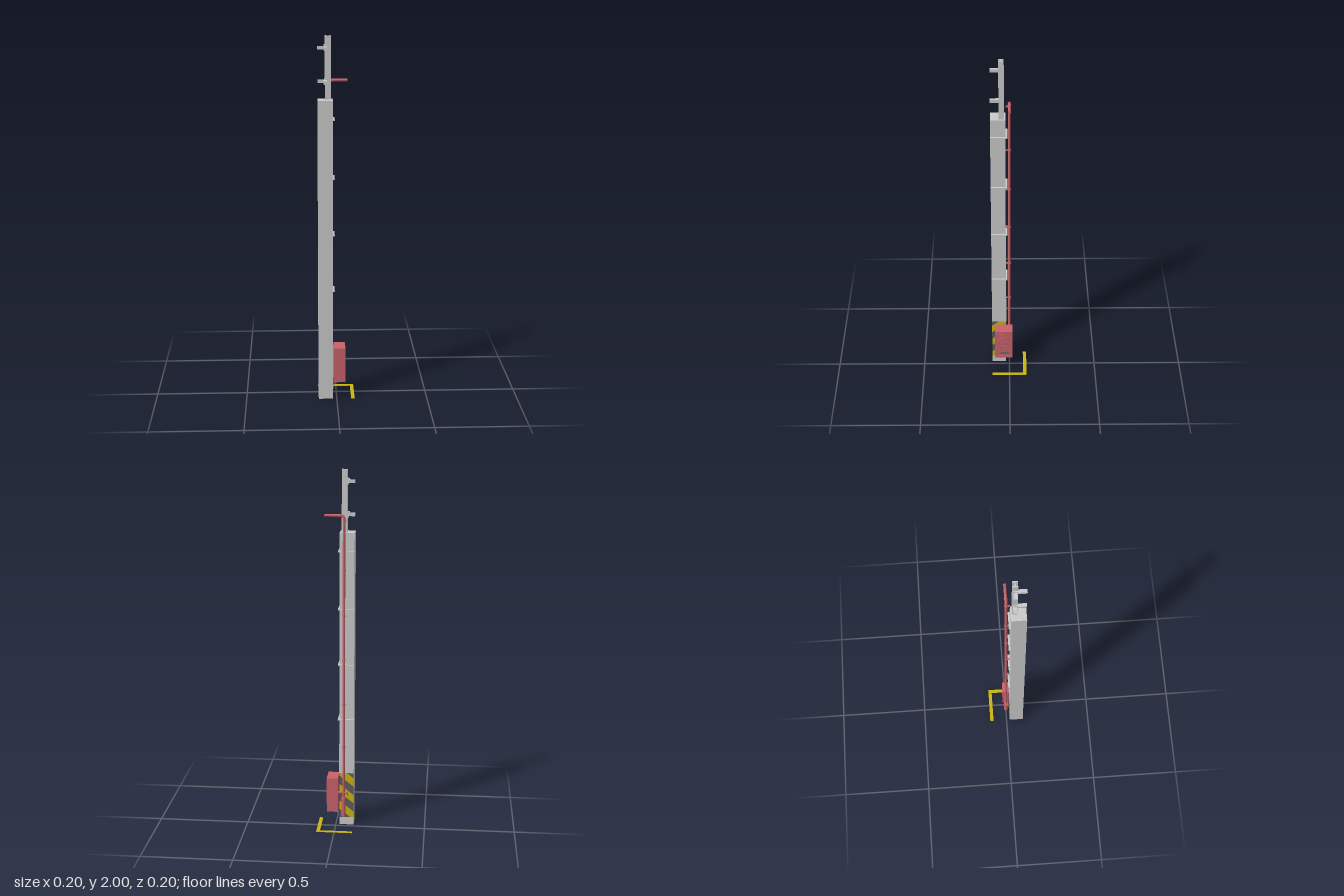
import * as THREE from 'three';

const mat = (name, color, side = THREE.FrontSide) => {
  const m = new THREE.MeshStandardMaterial({ color, side });
  m.name = name;
  return m;
};

export function createModel() {
  const root = new THREE.Group();
  root.name = 'columnWithHoseCabinet';
  const grey = mat('concreteGrey', 0xcbcbcb);
  const red = mat('fireRed', 0xcb626b);
  const yellow = mat('safetyYellow', 0xcab510, THREE.DoubleSide);
  const dark = mat('stripeDark', 0x5c5c60, THREE.DoubleSide);

  const add = (name, geo, material, parent = root) => {
    const m = new THREE.Mesh(geo, material);
    m.name = name;
    parent.add(m);
    return m;
  };
  // Box given by its extents along each axis
  const box = (name, x0, x1, y0, y1, z0, z1, material, parent) => {
    const m = add(name, new THREE.BoxGeometry(x1 - x0, y1 - y0, z1 - z0), material, parent);
    m.position.set((x0 + x1) / 2, (y0 + y1) / 2, (z0 + z1) / 2);
    return m;
  };
  const cyl = (name, r, h, x, y, z, material, axis = 'y', parent) => {
    const m = add(name, new THREE.CylinderGeometry(r, r, h, 20), material, parent);
    m.position.set(x, y, z);
    if (axis === 'x') m.rotation.z = Math.PI / 2;
    if (axis === 'z') m.rotation.x = Math.PI / 2;
    return m;
  };

  // Main column and corner straps
  box('column', -0.1, -0.02, 0, 1.667, 0.02, 0.1, grey);
  for (const y of [0.625, 0.938, 1.25, 1.565]) {
    box('strapSide', -0.02, -0.011, y - 0.003, y + 0.003, 0.01, 0.1, grey);
    box('strapBack', -0.1, -0.02, y - 0.003, y + 0.003, 0.01, 0.02, grey);
  }
  box('conduit', -0.024, -0.018, 0.31, 0.48, 0.017, 0.023, grey);

  // Upper steel post: two flanges and a web
  const post = new THREE.Group();
  post.name = 'upperPost';
  root.add(post);
  box('flange', -0.061, -0.055, 1.667, 2, 0.028, 0.056, grey, post);
  box('flange', -0.036, -0.03, 1.667, 2, 0.028, 0.056, grey, post);
  box('web', -0.055, -0.036, 1.667, 2, 0.039, 0.045, grey, post);
  // Arms reaching left and forward
  for (const y of [1.762, 1.938]) {
    box('sideArm', -0.1, -0.061, y - 0.008, y + 0.008, 0.032, 0.052, grey, post);
    box('frontArm', -0.068, -0.05, y - 0.008, y + 0.008, 0.056, 0.1, grey, post);
    box('armPlate', -0.066, -0.061, y - 0.016, y + 0.016, 0.03, 0.056, grey, post);
  }

  // Hazard chevrons wrapping the column corner
  const w = 0.08, y0 = 0.045, y1 = 0.31;
  const clampY = (v) => Math.min(y1, Math.max(y0, v));
  const stripe = (c, h) => {
    const pts = [];
    for (let i = 0; i <= 16; i++) pts.push(new THREE.Vector2(w * i / 16, clampY(c + 0.8 * w * i / 16)));
    for (let i = 16; i >= 0; i--) pts.push(new THREE.Vector2(w * i / 16, clampY(c + h + 0.8 * w * i / 16)));
    return new THREE.ShapeGeometry(new THREE.Shape(pts));
  };
  for (const side of [true, false]) {
    const panel = new THREE.Group();
    panel.name = side ? 'hazardSide' : 'hazardBack';
    root.add(panel);
    const base = add('hazardBase', new THREE.PlaneGeometry(w, y1 - y0), yellow, panel);
    base.position.set(w / 2, (y0 + y1) / 2, 0);
    for (let c = -0.02; c < y1; c += 0.1) {
      add('hazardStripe', stripe(c, 0.05), dark, panel).position.z = side ? 0.001 : -0.001;
    }
    if (side) {
      panel.rotation.y = Math.PI / 2;
      panel.position.set(-0.019, 0, 0.1);
    } else panel.position.set(-0.1, 0, 0.019);
  }

  // Riser pipe with elbow and outlet
  const px = -0.045;
  const path = new THREE.CurvePath();
  const v = (x, y) => new THREE.Vector3(x, y, 0);
  path.add(new THREE.LineCurve3(v(px, 0.06), v(px, 1.745)));
  path.add(new THREE.QuadraticBezierCurve3(v(px, 1.745), v(px, 1.762), v(px + 0.017, 1.762)));
  path.add(new THREE.LineCurve3(v(px + 0.017, 1.762), v(0.058, 1.762)));
  add('riserPipe', new THREE.TubeGeometry(path, 220, 0.007, 14), red);
  cyl('outletEnd', 0.008, 0.006, 0.056, 1.762, 0, red, 'x');
  cyl('outletCollar', 0.0095, 0.008, -0.02, 1.762, 0, red, 'x');
  for (const y of [0.47, 0.72, 0.97, 1.22, 1.47, 1.735]) {
    cyl('pipeCollar', 0.0095, 0.008, px, y, 0, red);
    box('pipeClip', px - 0.004, px + 0.004, y - 0.003, y + 0.003, 0.006, 0.02, red);
  }
  // Valve body, handwheel and branch to the cabinet
  cyl('valveBody', 0.012, 0.11, px, 0.115, 0, red);
  cyl('branchPipe', 0.007, 0.04, -0.03, 0.2, 0, red, 'x');
  cyl('valveStem', 0.004, 0.02, px - 0.012, 0.2, 0, red, 'x');
  const wheel = add('valveWheel', new THREE.TorusGeometry(0.014, 0.003, 8, 20), red);
  wheel.position.set(px - 0.022, 0.2, 0);
  wheel.rotation.y = Math.PI / 2;

  // Hose cabinet with a raised frame around its door
  const cab = new THREE.Group();
  cab.name = 'hoseCabinet';
  root.add(cab);
  box('cabinetBody', -0.014, 0.042, 0.09, 0.29, -0.018, 0.083, red, cab);
  const frame = new THREE.Shape([[-0.083, 0.09], [0.018, 0.09], [0.018, 0.29], [-0.083, 0.29]]
    .map(([a, b]) => new THREE.Vector2(a, b)));
  frame.holes.push(new THREE.Path([[-0.07, 0.105], [-0.07, 0.275], [0.005, 0.275], [0.005, 0.105]]
    .map(([a, b]) => new THREE.Vector2(a, b))));
  const doorFrame = add('doorFrame', new THREE.ExtrudeGeometry(frame, { depth: 0.006, bevelEnabled: false }), red, cab);
  doorFrame.rotation.y = Math.PI / 2;
  doorFrame.position.x = 0.042;
  box('doorPanel', 0.042, 0.044, 0.112, 0.268, 0.002, 0.063, red, cab);
  const reel = add('hoseReel', new THREE.TorusGeometry(0.03, 0.0022, 8, 32), red, cab);
  reel.position.set(0.0445, 0.21, 0.032);
  reel.rotation.y = Math.PI / 2;
  cyl('reelHub', 0.008, 0.004, 0.045, 0.205, 0.03, red, 'x', cab);
  box('reelNozzle', 0.044, 0.047, 0.19, 0.196, 0.003, 0.03, dark, cab);
  box('doorHandle', 0.044, 0.047, 0.122, 0.129, 0.003, 0.052, dark, cab);

  // Floor marking
  box('floorMarkBack', -0.1, 0.1, 0, 0.002, -0.1, -0.08, yellow);
  box('floorMarkSide', 0.08, 0.1, 0, 0.002, -0.08, 0.1, yellow);

  return root;
}
